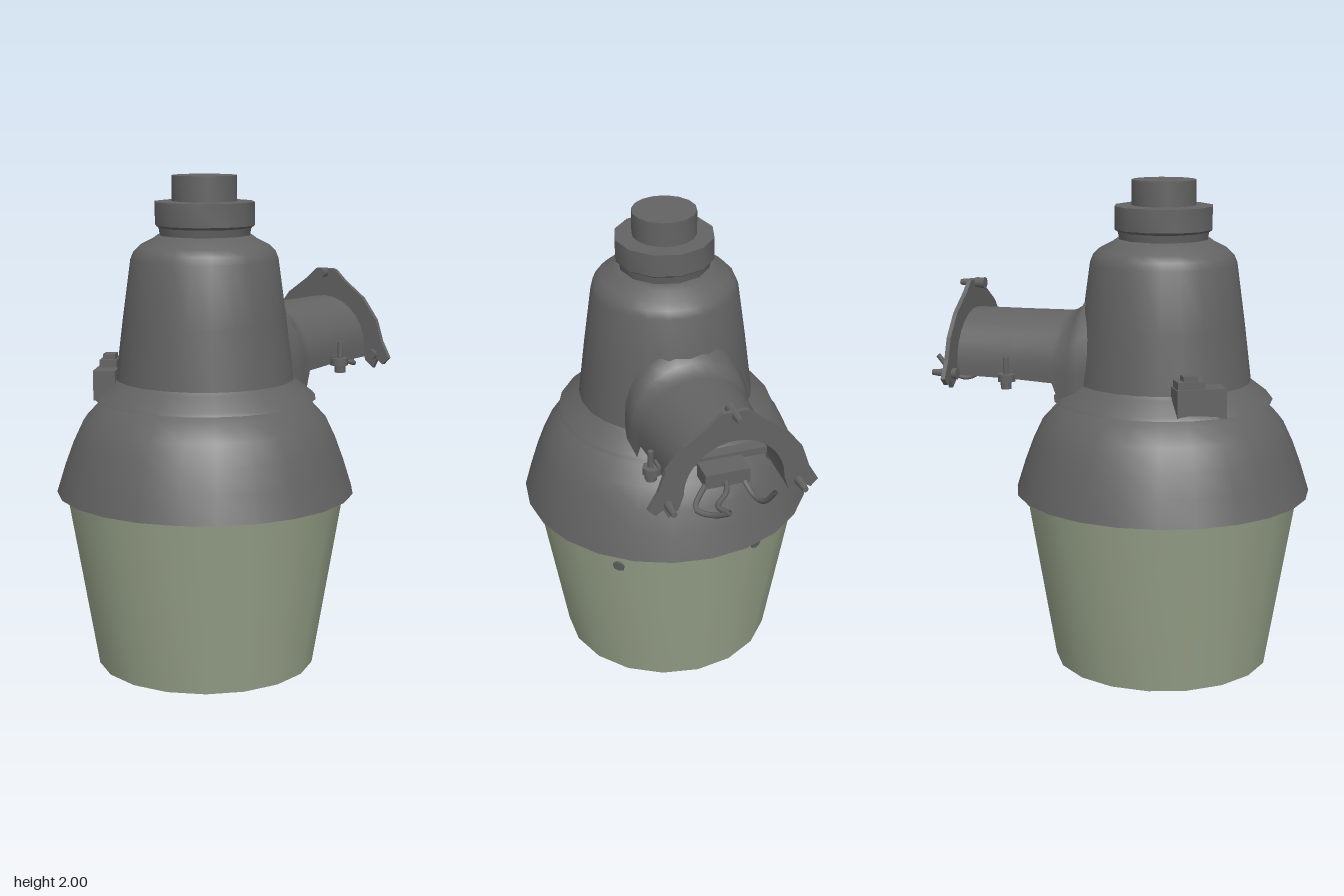
import * as THREE from 'three';
import { toCreasedNormals } from 'three/addons/utils/BufferGeometryUtils.js';

const AXIS_Z = 0.17;

export function createModel() {
  const model = new THREE.Group();
  model.name = 'yardLight';
  const metal = new THREE.MeshStandardMaterial({ color: 0x636363, side: THREE.DoubleSide });
  metal.name = 'dark grey metal';
  const glass = new THREE.MeshStandardMaterial({ color: 0x98a38a, side: THREE.DoubleSide });
  glass.name = 'pale green glass';

  const add = (name, geometry, material = metal, x = 0, y = 0, z = 0) => {
    const mesh = new THREE.Mesh(geometry, material);
    mesh.name = name;
    mesh.position.set(x, y, z);
    model.add(mesh);
    return mesh;
  };
  const turned = (name, profile, sides, material = metal) => {
    const points = profile.map(([r, y]) => new THREE.Vector2(r, y));
    return add(name, toCreasedNormals(new THREE.LatheGeometry(points, sides), 0.65), material, 0, 0, AXIS_Z);
  };

  // Turned housing, stacked along one upright axis
  turned('lens', [[0.445, 0.005], [0.567, 0.735]], 18, glass);
  turned('skirt', [[0.55, 0.74], [0.605, 0.728], [0.57, 0.84], [0.535, 0.935], [0.495, 1.02], [0.435, 1.085], [0.39, 1.115]], 24);
  turned('flange', [[0.38, 1.11], [0.45, 1.112], [0.44, 1.125], [0.375, 1.175], [0.36, 1.19]], 24);
  turned('body', [[0.362, 1.17], [0.33, 1.43], [0.297, 1.67], [0.285, 1.7], [0.26, 1.725], [0.21, 1.75], [0.19, 1.765], [0.17, 1.765]], 24);
  turned('collar', [[0.18, 1.75], [0.188, 1.795], [0.202, 1.805], [0.202, 1.897], [0.12, 1.9]], 12);
  turned('sensorCap', [[0.13, 1.89], [0.13, 2], [0, 2]], 16);

  // Arched arm, open underneath and flaring into the body
  const sections = [ // z, half width, top, bottom
    [-0.655, 0.212, 1.448, 1.195], [-0.42, 0.218, 1.45, 1.195], [-0.23, 0.232, 1.453, 1.19],
    [-0.2, 0.238, 1.46, 1.12], [-0.16, 0.247, 1.485, 1.12], [-0.12, 0.255, 1.55, 1.12], [0, 0.24, 1.56, 1.12],
  ];
  const steps = 16;
  const positions = [], index = [];
  sections.forEach(([z, w, top, bottom], s) => {
    for (let i = 0; i <= steps; i++) {
      const a = ((i - 1) / (steps - 2)) * Math.PI;
      if (i === 0 || i === steps) positions.push(i ? -w : w, bottom, z);
      else positions.push(Math.cos(a) * w, 1.24 + Math.sin(a) * (top - 1.24), z);
      if (s && i) {
        const b = s * (steps + 1) + i, a0 = b - steps - 1;
        index.push(a0 - 1, a0, b - 1, a0, b, b - 1);
      }
    }
  });
  const armGeometry = new THREE.BufferGeometry();
  armGeometry.setAttribute('position', new THREE.Float32BufferAttribute(positions, 3));
  armGeometry.setIndex(index);
  armGeometry.computeVertexNormals();
  add('arm', armGeometry);

  // Arched mounting plate with splayed feet
  const plate = new THREE.Shape();
  plate.moveTo(0.2, 1.24);
  plate.absarc(0, 1.24, 0.2, 0, Math.PI, false);
  [[-0.22, 1.18], [-0.26, 1.15], [-0.28, 1.19], [-0.31, 1.17], [-0.34, 1.2], [-0.3, 1.27], [-0.27, 1.36],
    [-0.2, 1.45], [-0.1, 1.52], [-0.05, 1.565], [0.05, 1.565], [0.1, 1.52], [0.2, 1.45], [0.27, 1.36],
    [0.3, 1.27], [0.34, 1.2], [0.31, 1.17], [0.28, 1.19], [0.26, 1.15], [0.22, 1.18]].forEach(([x, y]) => plate.lineTo(x, y));
  add('mountingPlate', new THREE.ExtrudeGeometry(plate, { depth: 0.018, bevelEnabled: false, curveSegments: 14 }), metal, 0, 0, -0.67);

  // Tapered studs through the plate
  for (const [x, y, z] of [[-0.26, 1.21, -0.685], [0.26, 1.21, -0.685], [0, 1.55, -0.665]]) {
    const stud = add('plateStud', new THREE.CylinderGeometry(0.012, 0.024, 0.11, 8), metal, x, y, z);
    stud.rotation.x = -Math.PI / 2;
  }

  // Clamp ears with upright bolts on both sides of the arm
  for (const side of [-1, 1]) {
    add('clampEar', new THREE.CylinderGeometry(0.038, 0.038, 0.03, 8), metal, side * 0.245, 1.205, -0.42);
    add('clampBolt', new THREE.CylinderGeometry(0.012, 0.012, 0.13, 8), metal, side * 0.25, 1.225, -0.42);
    add('clampNut', new THREE.CylinderGeometry(0.024, 0.024, 0.03, 6), metal, side * 0.25, 1.175, -0.42);
  }
  add('clampBar', new THREE.BoxGeometry(0.46, 0.03, 0.05), metal, 0, 1.215, -0.42);
  add('terminalBlock', new THREE.BoxGeometry(0.18, 0.06, 0.1), metal, 0, 1.225, -0.55);

  // Loose supply wires
  const wires = [
    [[-0.06, 1.22, -0.56], [-0.09, 1.16, -0.66], [-0.105, 1.18, -0.72], [-0.12, 1.255, -0.78]],
    [[0.06, 1.22, -0.56], [0.15, 1.16, -0.66], [0.1, 1.16, -0.72], [0.055, 1.2, -0.78]],
    [[0, 1.22, -0.56], [0.02, 1.2, -0.64], [0.08, 1.19, -0.71], [0.06, 1.2, -0.775]],
  ];
  for (const path of wires) {
    const curve = new THREE.CatmullRomCurve3(path.map((p) => new THREE.Vector3(...p)));
    add('wire', new THREE.TubeGeometry(curve, 14, 0.011, 6));
  }

  // Latch seated on the flange
  const latch = new THREE.Group();
  latch.name = 'latch';
  latch.position.set(-0.315, 1.17, 0.4);
  latch.rotation.y = -Math.PI / 2 + Math.atan2(0.54, 0.84);
  for (const [name, w, h, d, x, y] of [['latchBase', 0.2, 0.12, 0.09, 0.01, 0], ['latchRaisedEnd', 0.11, 0.04, 0.07, -0.03, 0.07], ['latchKnob', 0.06, 0.03, 0.05, -0.03, 0.095]]) {
    const part = new THREE.Mesh(new THREE.BoxGeometry(w, h, d), metal);
    part.name = name;
    part.position.set(x, y, 0);
    latch.add(part);
  }
  model.add(latch);

  // Small clips showing on the back of the lens
  for (const [x, z, y] of [[0.34, -0.43, 0.65], [-0.22, -0.5, 0.69]]) {
    const angle = Math.atan2(x, z), r = 0.445 + 0.167 * y;
    const clip = add('lensClip', new THREE.CylinderGeometry(0.026, 0.026, 0.008, 7), metal, Math.sin(angle) * r, y, AXIS_Z + Math.cos(angle) * r);
    clip.rotation.set(Math.PI / 2 + 0.165, angle, 0, 'YXZ');
  }
  return model;
}
